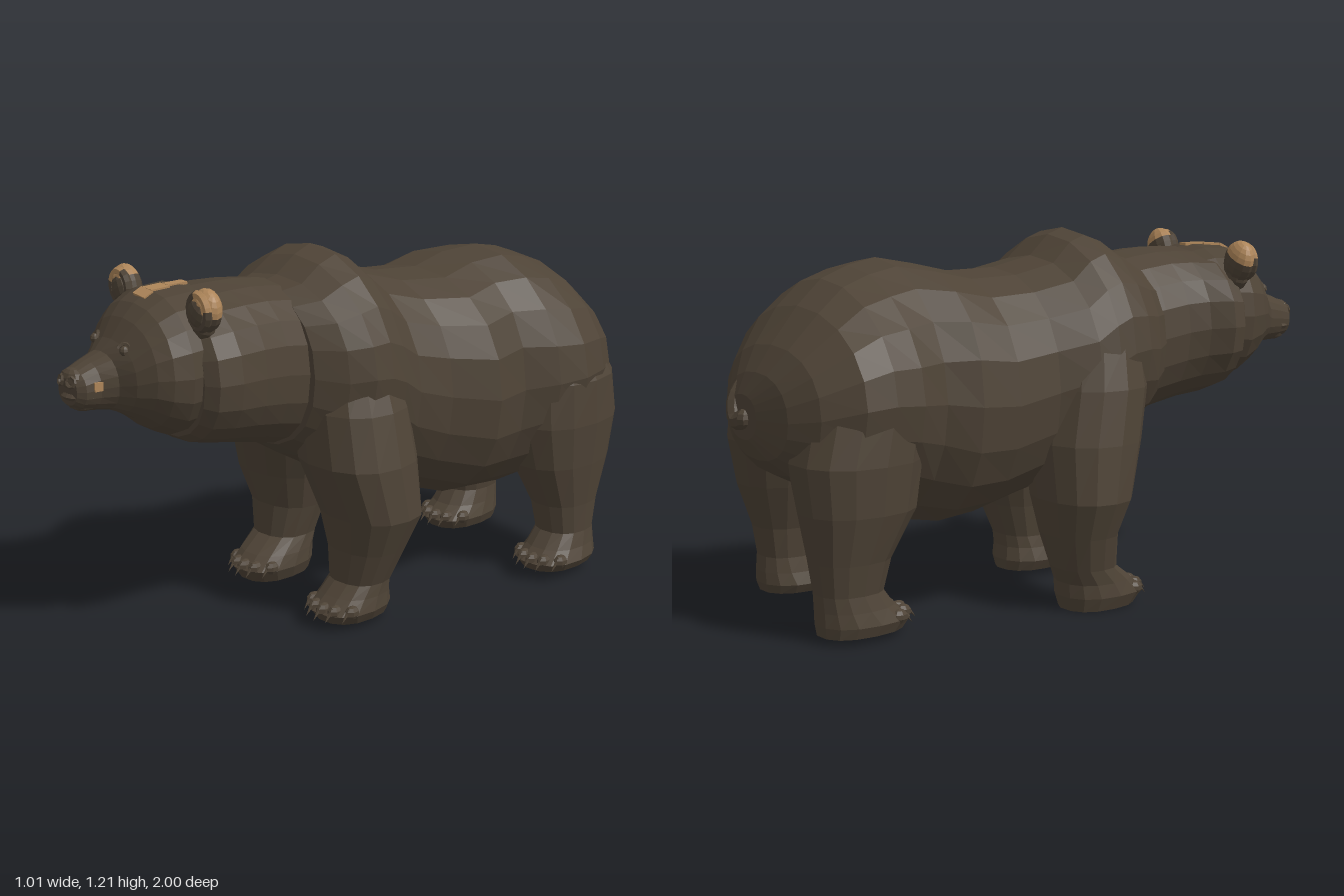
import * as THREE from 'three';

const fur = new THREE.MeshStandardMaterial({ color: 0x4e4336, flatShading: true });
fur.name = 'dark brown fur';
const tan = new THREE.MeshStandardMaterial({ color: 0xad8559, flatShading: true });
tan.name = 'tan fur';

const SEG = 20;
const bend = (v, p) => Math.sign(v) * Math.abs(v) ** p;

// Skins a list of rings (arrays of points) and closes both ends
function loft(rings) {
  const pos = [], index = [], n = rings[0].length;
  rings.forEach(r => r.forEach(p => pos.push(...p)));
  for (let i = 0; i < rings.length - 1; i++) {
    for (let j = 0; j < n; j++) {
      const k = (j + 1) % n, a = i * n + j, b = i * n + k;
      index.push(a, b, b + n, a, b + n, a + n);
    }
  }
  [0, rings.length - 1].forEach((r, end) => {
    const c = [0, 1, 2].map(k => rings[r].reduce((s, p) => s + p[k], 0) / n);
    const ci = pos.length / 3;
    pos.push(...c);
    for (let j = 0; j < n; j++) {
      const a = r * n + j, b = r * n + (j + 1) % n;
      if (end) index.push(ci, a, b); else index.push(ci, b, a);
    }
  });
  const g = new THREE.BufferGeometry();
  g.setAttribute('position', new THREE.Float32BufferAttribute(pos, 3));
  g.setIndex(index);
  const flat = g.toNonIndexed();
  flat.computeVertexNormals();
  return flat;
}

// Upright ring across the body: z, centre x, half width, bottom, top, skew of the turned head, roundness
function trunkRing([z, cx, hw, y0, y1, skew = 0, p = 0.9]) {
  return Array.from({ length: SEG }, (_, j) => {
    const t = j / SEG * Math.PI * 2, dx = hw * bend(Math.cos(t), p);
    return [cx + dx, (y0 + y1) / 2 + (y1 - y0) / 2 * bend(Math.sin(t), p), z + dx * skew];
  });
}

// Level ring of a leg: y, centre x, centre z, radius x, radius z
function legRing([y, cx, cz, rx, rz]) {
  return Array.from({ length: 14 }, (_, j) => {
    const t = j / 14 * Math.PI * 2;
    return [cx + rx * bend(Math.cos(t), 0.84), y, cz - rz * bend(Math.sin(t), 0.84)];
  });
}

function add(parent, name, geometry, material, position = [0, 0, 0], rotation = [0, 0, 0], scale = [1, 1, 1]) {
  const m = new THREE.Mesh(geometry, material);
  m.name = name;
  m.position.set(...position);
  m.rotation.set(...rotation);
  m.scale.set(...scale);
  parent.add(m);
}

const BODY = [
  [-0.975, 0.1, 0.08, 0.6, 0.74], [-0.95, 0.06, 0.18, 0.54, 0.81], [-0.9, 0.05, 0.275, 0.49, 0.89],
  [-0.8, 0.06, 0.38, 0.44, 1.0, 0, 0.98], [-0.7, 0.08, 0.41, 0.38, 1.075, 0, 1.03], [-0.6, 0.085, 0.415, 0.33, 1.11, 0, 1.06],
  [-0.5, 0.08, 0.385, 0.29, 1.13, 0, 1.02], [-0.4, 0.02, 0.375, 0.285, 1.11], [-0.27, 0.015, 0.385, 0.3, 1.08],
  [-0.12, -0.03, 0.35, 0.35, 1.085], [0, -0.075, 0.365, 0.39, 1.12, 0, 0.96], [0.07, -0.08, 0.37, 0.42, 1.185, 0, 1.02],
  [0.13, -0.08, 0.37, 0.45, 1.205, 0, 1.02], [0.2, -0.08, 0.365, 0.49, 1.18, 0, 1.02], [0.27, -0.09, 0.325, 0.53, 1.125],
  [0.34, -0.11, 0.26, 0.58, 1.1],
];
const NECK = [
  [0.22, -0.11, 0.25, 0.57, 1.1], [0.33, -0.125, 0.255, 0.58, 1.12], [0.42, -0.135, 0.258, 0.6, 1.13],
  [0.5, -0.15, 0.275, 0.62, 1.13, 0.06], [0.58, -0.175, 0.302, 0.635, 1.125, 0.12],
  [0.64, -0.185, 0.29, 0.65, 1.11, 0.18], [0.67, -0.19, 0.25, 0.67, 1.09, 0.18],
];
const HEAD = [
  [0.53, -0.18, 0.22, 0.7, 1.12, 0.18], [0.6, -0.19, 0.25, 0.69, 1.137, 0.18], [0.7, -0.2, 0.252, 0.68, 1.132, 0.18],
  [0.76, -0.205, 0.232, 0.715, 1.1, 0.18], [0.8, -0.21, 0.2, 0.75, 1.06, 0.18], [0.84, -0.22, 0.15, 0.775, 1.0, 0.18],
  [0.87, -0.235, 0.1, 0.785, 0.965, 0.12], [0.92, -0.247, 0.076, 0.79, 0.945], [0.965, -0.252, 0.066, 0.8, 0.925],
  [0.985, -0.254, 0.045, 0.815, 0.91],
];
const LEGS = {
  frontLeftLeg: [
    [0.02, 0.155, 0.185, 0.095, 0.125], [0.055, 0.155, 0.195, 0.115, 0.14], [0.1, 0.16, 0.175, 0.105, 0.11],
    [0.14, 0.165, 0.155, 0.1, 0.09], [0.25, 0.18, 0.14, 0.13, 0.11], [0.37, 0.19, 0.13, 0.17, 0.145],
    [0.55, 0.155, 0.155, 0.19, 0.175], [0.72, 0.115, 0.15, 0.19, 0.165], [0.86, 0.07, 0.135, 0.175, 0.14],
    [1.0, 0.0, 0.13, 0.13, 0.1],
  ],
  frontRightLeg: [
    [0, -0.325, 0.075, 0.095, 0.13], [0.045, -0.325, 0.085, 0.115, 0.15], [0.09, -0.325, 0.06, 0.11, 0.125],
    [0.14, -0.33, 0.015, 0.105, 0.1], [0.25, -0.33, -0.005, 0.135, 0.11], [0.37, -0.335, 0, 0.175, 0.14],
    [0.55, -0.3, 0.03, 0.2, 0.17], [0.72, -0.285, 0.07, 0.195, 0.17], [0.86, -0.255, 0.09, 0.185, 0.15],
    [1.0, -0.17, 0.1, 0.13, 0.1],
  ],
  hindLeftLeg: [
    [0.03, 0.375, -0.62, 0.095, 0.135], [0.06, 0.375, -0.615, 0.115, 0.15], [0.1, 0.375, -0.64, 0.1, 0.125],
    [0.15, 0.375, -0.66, 0.09, 0.1], [0.25, 0.37, -0.66, 0.1, 0.12], [0.4, 0.35, -0.655, 0.14, 0.185],
    [0.55, 0.33, -0.655, 0.175, 0.22], [0.7, 0.305, -0.65, 0.195, 0.21], [0.88, 0.24, -0.63, 0.17, 0.16],
  ],
  hindRightLeg: [
    [0.02, -0.16, -0.735, 0.095, 0.14], [0.055, -0.16, -0.725, 0.11, 0.155], [0.1, -0.16, -0.755, 0.1, 0.125],
    [0.15, -0.16, -0.775, 0.092, 0.108], [0.25, -0.16, -0.77, 0.11, 0.128], [0.4, -0.16, -0.74, 0.15, 0.185],
    [0.55, -0.145, -0.735, 0.178, 0.205], [0.7, -0.125, -0.7, 0.19, 0.195], [0.86, -0.06, -0.68, 0.17, 0.15],
  ],
};

// Leg with a paw of five toes and claws
function makeLeg(name, rings) {
  const leg = new THREE.Group();
  leg.name = name;
  add(leg, 'limb', loft(rings.map(legRing)), fur);
  const [y, cx, cz, rx, rz] = rings[1];
  for (let i = -2; i <= 2; i++) {
    const dx = i * 0.043, z = cz + rz * Math.sqrt(1 - (dx / rx) ** 2) * 0.92;
    add(leg, 'toe', new THREE.SphereGeometry(0.026, 7, 5), fur, [cx + dx, y + 0.01, z - 0.01], [0, 0, 0], [0.85, 0.9, 1.1]);
    add(leg, 'claw', new THREE.ConeGeometry(0.009, 0.052, 5), fur, [cx + dx, y + 0.003, z + 0.02], [2.4, 0, 0]);
  }
  return leg;
}

// Round ear: shell with a tan tip, a rim and a recessed inside
function makeEar(name, x, y, z, roll) {
  const ear = new THREE.Group();
  ear.name = name;
  ear.position.set(x, y, z);
  ear.rotation.set(0, -0.18, roll);
  const split = 1.3, size = [1, 1.12, 0.68];
  add(ear, 'earTip', new THREE.SphereGeometry(0.064, 12, 5, 0, Math.PI * 2, 0, split), tan, [0, 0, -0.01], [0, 0, 0], size);
  add(ear, 'earBase', new THREE.SphereGeometry(0.064, 12, 6, 0, Math.PI * 2, split, Math.PI - split), fur, [0, 0, -0.01], [0, 0, 0], size);
  add(ear, 'earRoot', new THREE.SphereGeometry(0.056, 10, 6), fur, [0, -0.05, -0.01], [0, 0, 0], [1, 1, 0.7]);
  add(ear, 'innerEar', new THREE.SphereGeometry(0.046, 12, 6), fur, [0, -0.006, 0.016], [0, 0, 0], [1, 1, 0.48]);
  add(ear, 'rimTop', new THREE.TorusGeometry(0.05, 0.015, 6, 8, 1.7), tan, [0, 0, 0.012], [0, 0, 0.72]);
  add(ear, 'rimSides', new THREE.TorusGeometry(0.05, 0.015, 6, 12, Math.PI * 2 - 1.7), fur, [0, 0, 0.012], [0, 0, 2.42]);
  return ear;
}

export function createModel() {
  const bear = new THREE.Group();
  bear.name = 'bear';
  add(bear, 'body', loft(BODY.map(trunkRing)), fur);
  add(bear, 'neck', loft(NECK.map(trunkRing)), fur);
  for (const [name, rings] of Object.entries(LEGS)) bear.add(makeLeg(name, rings));

  // Head and face
  const head = new THREE.Group();
  head.name = 'head';
  bear.add(head);
  add(head, 'skull', loft(HEAD.map(trunkRing)), fur);
  head.add(makeEar('rightEar', -0.428, 1.09, 0.612, 0.5));
  head.add(makeEar('leftEar', 0.033, 1.102, 0.692, -0.55));
  for (const s of [-1, 1]) {
    const x = -0.23 + s * 0.092, z = 0.847 + s * 0.018;
    add(head, 'eye', new THREE.SphereGeometry(0.016, 8, 6), fur, [x, 0.98, z - 0.009]);
    add(head, 'eyelid', new THREE.TorusGeometry(0.022, 0.007, 5, 8, Math.PI), fur, [x, 0.98, z - 0.007], [-0.6, s * 0.4, 0]);
    add(head, 'nostril', new THREE.TorusGeometry(0.015, 0.006, 5, 8), fur, [-0.254 + s * 0.024, 0.892, 0.99], [-0.25, s * 0.3, 0]);
  }
  add(head, 'nosePad', new THREE.SphereGeometry(0.05, 10, 7), fur, [-0.254, 0.893, 0.965], [0, 0, 0], [1, 0.72, 0.6]);
  add(head, 'upperLip', new THREE.TorusGeometry(0.063, 0.011, 5, 10, Math.PI), fur, [-0.252, 0.842, 0.922], [Math.PI / 2, 0, 0]);
  add(head, 'chin', new THREE.SphereGeometry(0.052, 10, 6), fur, [-0.252, 0.815, 0.93], [0, 0, 0], [1, 0.5, 0.95]);

  // Tan markings on the crown and muzzle: x, width, length, y, z, pitch
  for (const [x, w, l, y, z, pitch] of [
    [-0.193, 0.035, 0.07, 1.135, 0.605, 0.02], [-0.202, 0.055, 0.065, 1.132, 0.672, 0.05], [-0.208, 0.065, 0.035, 1.122, 0.718, 0.48],
  ]) {
    add(head, 'crownPatch', new THREE.BoxGeometry(w, 0.009, l), tan, [x, y, z], [pitch, -0.15, 0]);
  }
  add(head, 'muzzleSpot', new THREE.BoxGeometry(0.008, 0.028, 0.028), tan, [-0.174, 0.877, 0.93], [0, -0.2, 0]);

  // Short tail with a curled tip
  const tailPath = new THREE.CatmullRomCurve3([
    [0.16, 0.78, -0.915], [0.165, 0.71, -0.957], [0.14, 0.655, -0.967], [0.095, 0.665, -0.967],
  ].map(p => new THREE.Vector3(...p)));
  add(bear, 'tail', new THREE.TubeGeometry(tailPath, 9, 0.032, 8), fur);
  add(bear, 'tailTip', new THREE.SphereGeometry(0.032, 8, 6), fur, [0.095, 0.665, -0.967]);
  return bear;
}
